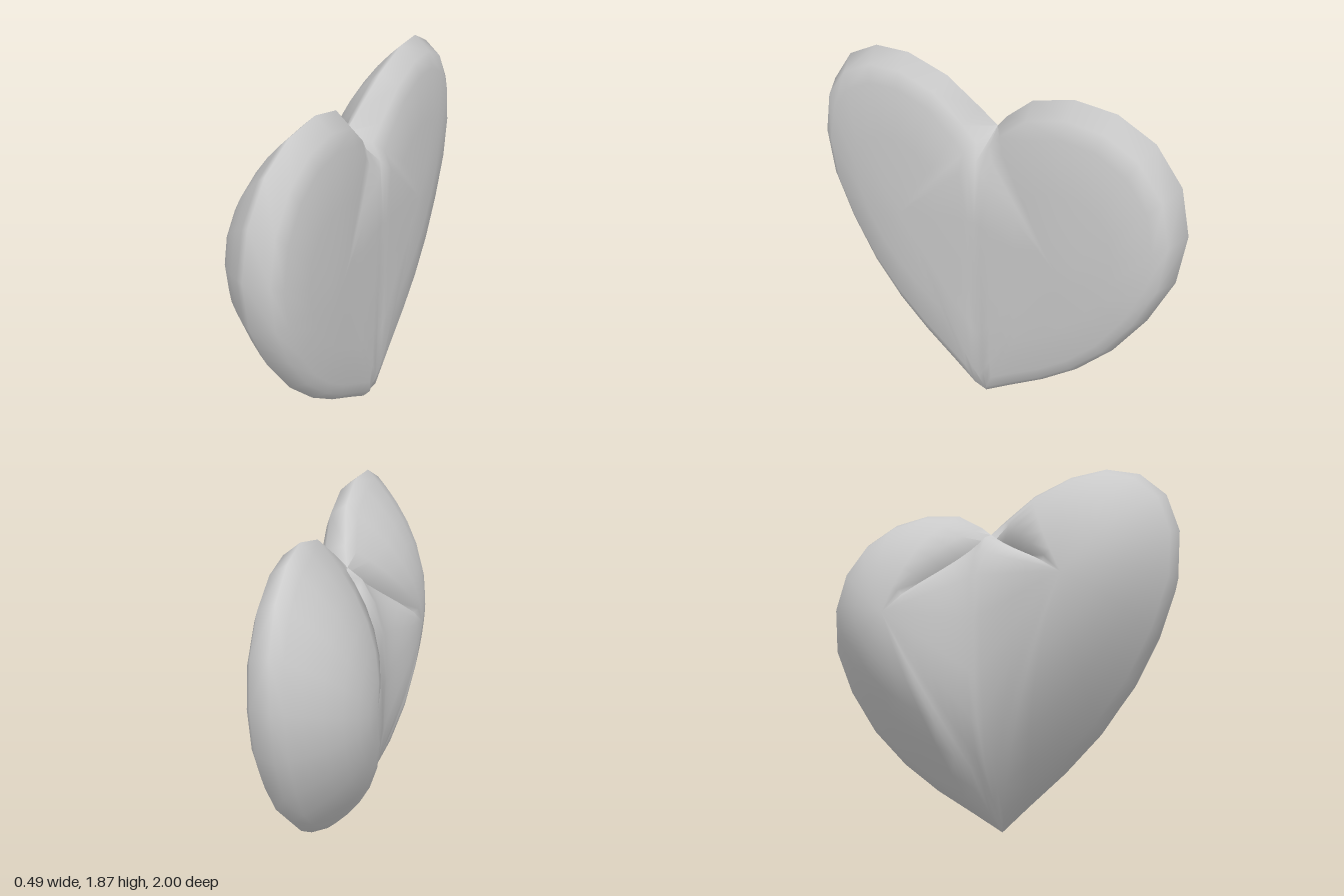
import * as THREE from 'three';
import { mergeVertices, mergeGeometries, toCreasedNormals } from 'three/addons/utils/BufferGeometryUtils.js';

// Rim of one lobe from notch to tip: [x, y, z]
const rim = [
  [0.03, 1.58, 0], [0.06, 1.66, 0.07], [0.1, 1.8, 0.23], [0.11, 1.865, 0.44], [0.1, 1.85, 0.64],
  [0.09, 1.76, 0.82], [0.08, 1.59, 0.95], [0.07, 1.36, 1], [0.07, 1.1, 0.97], [0.08, 0.84, 0.86],
  [0.1, 0.6, 0.71], [0.12, 0.4, 0.53], [0.13, 0.24, 0.34], [0.14, 0.1, 0.14], [0.15, 0, 0],
];
// Middle seams from tip back up to the notch
const domeSeam = [
  [0.06, 0.12, 0], [-0.03, 0.25, 0], [-0.12, 0.45, 0], [-0.16, 0.7, 0],
  [-0.17, 1, 0], [-0.15, 1.25, 0], [-0.1, 1.42, 0], [-0.04, 1.53, 0],
];
const flatSeam = [[0.22, 0.15, 0], [0.228, 0.45, 0], [0.236, 0.8, 0], [0.238, 1.15, 0], [0.215, 1.47, 0]];

// Dome falls off roundly to the rim, and eases into the valley along the seam
function domeBlend(t, y, z) {
  const valley = z === 0 ? Math.min(1, y) : 0;
  return THREE.MathUtils.lerp(t ** 2.3, t * t * (3 - 2 * t), valley);
}

// Flat face: faint bulge, then a soft bevel at the edge
const flatFall = { 1: 1, 0.92: 0.4, 0.82: 0.2, 0.5: 0.08, 0.2: 0 };

// Rings shrink from the loop to a centre; blend sets how depth falls off
function lobe(loop, centre, steps, blend, side, mirror) {
  const pos = [], idx = [], n = loop.length;
  const [cx, cy, cz] = centre;
  for (const t of steps) {
    for (const [x, y, z] of loop) {
      pos.push(cx + (x - cx) * blend(t, y, z), cy + (y - cy) * t, mirror * (cz + (z - cz) * t));
    }
  }
  const hub = pos.length / 3;
  pos.push(cx, cy, mirror * cz);
  const tri = (a, b, c) => (side * mirror > 0 ? idx.push(a, b, c) : idx.push(a, c, b));
  for (let r = 0; r < steps.length; r++) {
    for (let i = 0; i < n; i++) {
      const j = (i + 1) % n, a = r * n + i, b = r * n + j;
      if (r === steps.length - 1) tri(a, b, hub);
      else {
        tri(a, b, b + n);
        tri(a, b + n, a + n);
      }
    }
  }
  const g = new THREE.BufferGeometry();
  g.setAttribute('position', new THREE.Float32BufferAttribute(pos, 3));
  g.setIndex(idx);
  return g;
}

export function createModel() {
  const group = new THREE.Group();
  const parts = [];
  for (const mirror of [1, -1]) {
    // Rounded dome facing -x
    parts.push(lobe([...rim, ...domeSeam], [-0.245, 1.1, 0.49],
      [1, 0.93, 0.83, 0.7, 0.55, 0.38, 0.2], domeBlend, -1, mirror));
    // Nearly flat face with a soft bevel facing +x
    parts.push(lobe([...rim, ...flatSeam], [0.24, 1.05, 0.45],
      [1, 0.92, 0.82, 0.5, 0.2], (t) => flatFall[t], 1, mirror));
  }
  const geometry = toCreasedNormals(mergeVertices(mergeGeometries(parts), 1e-4), 1.5);
  const heart = new THREE.Mesh(geometry, new THREE.MeshStandardMaterial({ color: 0xcccccc }));
  heart.name = 'heart';
  group.add(heart);
  return group;
}
